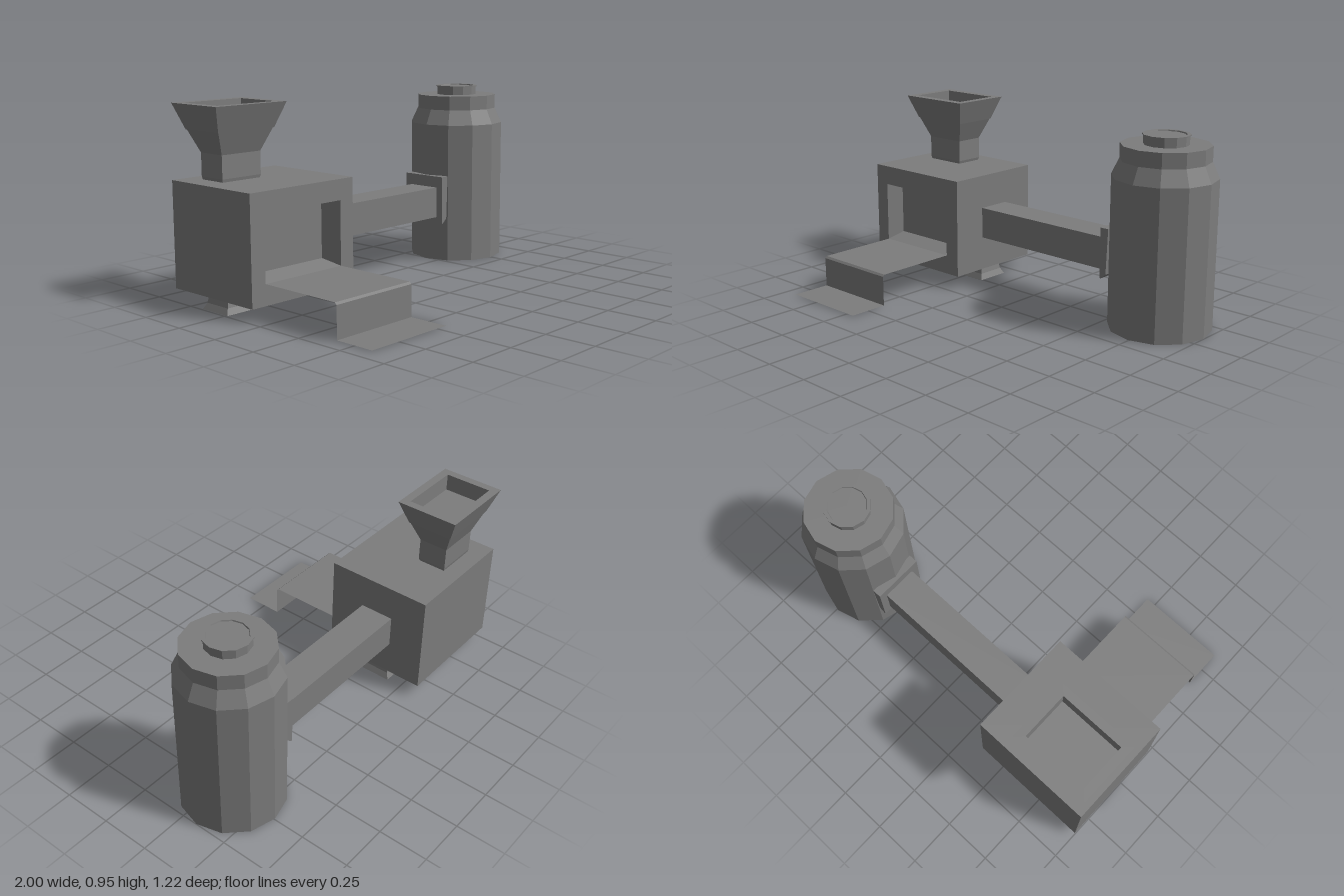
import * as THREE from 'three';

const color = 0x7c7c7c;
const material = new THREE.MeshStandardMaterial({ color, flatShading: true });
const sheetMaterial = new THREE.MeshStandardMaterial({ color, flatShading: true, side: THREE.DoubleSide });

// Closed loft through rectangles [x0, x1, z0, z1, y]; the first and last are capped.
function rectLoft(sections) {
  const rings = sections.map(([x0, x1, z0, z1, y]) => [[x0, y, z0], [x0, y, z1], [x1, y, z1], [x1, y, z0]]);
  const positions = [];
  const quad = (a, b, c, d) => positions.push(...a, ...b, ...c, ...a, ...c, ...d);
  for (let s = 0; s < rings.length - 1; s++) {
    for (let i = 0; i < 4; i++) {
      const j = (i + 1) % 4;
      quad(rings[s][i], rings[s][j], rings[s + 1][j], rings[s + 1][i]);
    }
  }
  quad(...[...rings[0]].reverse());
  quad(...rings[rings.length - 1]);
  const geometry = new THREE.BufferGeometry();
  geometry.setAttribute('position', new THREE.Float32BufferAttribute(positions, 3));
  geometry.computeVertexNormals();
  return geometry;
}

// Rectangle section centred on the origin, from half sizes
const centred = (hx, hz, y) => [-hx, hx, -hz, hz, y];

export function createModel() {
  const model = new THREE.Group();
  model.name = 'hopperMachine';
  const add = (name, geometry, mat = material) => {
    const mesh = new THREE.Mesh(geometry, mat);
    mesh.name = name;
    model.add(mesh);
    return mesh;
  };

  // Housing, lofted back to front and then into the tapered outlet recess
  const housing = rectLoft([
    [-1, -0.367, -0.59, -0.068, -0.61],
    [-1, -0.367, -0.59, -0.068, -0.05],
    [-0.92, -0.45, -0.488, -0.17, -0.05],
    [-0.905, -0.48, -0.478, -0.197, -0.15],
  ]).rotateX(Math.PI / 2);
  add('housing', housing);

  // Feet, flared towards the ground
  for (const [name, x] of [['rightFoot', -0.89], ['leftFoot', -0.475]]) {
    add(name, rectLoft([
      centred(0.1, 0.09, 0),
      centred(0.085, 0.075, 0.03),
      centred(0.075, 0.065, 0.08),
    ])).position.set(x, 0, -0.33);
  }

  // Hopper: neck and lower funnel, then the upper funnel with its shallow well
  add('hopperNeck', rectLoft([
    centred(0.11, 0.073, 0.585),
    centred(0.115, 0.077, 0.605),
    centred(0.115, 0.077, 0.718),
    centred(0.163, 0.118, 0.83),
  ])).position.set(-0.78, 0, -0.445);
  add('hopperFunnel', rectLoft([
    centred(0.166, 0.121, 0.828),
    centred(0.21, 0.165, 0.952),
    centred(0.168, 0.122, 0.952),
    centred(0.167, 0.121, 0.865),
  ])).position.set(-0.78, 0, -0.445);

  // Outlet chute: thin folded sheet
  const fold = [[0.17, -0.05], [0.168, 0.392], [0.158, 0.402], [0.004, 0.402], [0.004, 0.607]];
  const chute = new THREE.PlaneGeometry(0.47, 1, 1, fold.length - 1).translate(-0.685, 0, 0);
  const points = chute.attributes.position;
  for (let i = 0; i < points.count; i++) {
    const [y, z] = fold[Math.floor(i / 2)];
    points.setXYZ(i, points.getX(i), y, z);
  }
  chute.computeVertexNormals();
  add('chute', chute, sheetMaterial);

  // Connecting duct and its mounting plate, bevelled under the tank side
  add('duct', new THREE.BoxGeometry(0.86, 0.165, 0.18)).position.set(0.05, 0.33, -0.33);
  add('mountingPlate', rectLoft([
    [0.47, 0.478, -0.46, -0.2, 0.215],
    [0.47, 0.507, -0.46, -0.2, 0.24],
    [0.47, 0.517, -0.46, -0.2, 0.473],
  ]));

  // Twelve-sided tank and filler cap
  const lathe = (profile) => new THREE.LatheGeometry(profile.map(([r, y]) => new THREE.Vector2(r, y)), 12);
  add('tank', lathe([
    [0, 0], [0.255, 0], [0.255, 0.75], [0.218, 0.83], [0.218, 0.905], [0, 0.905],
  ])).position.set(0.744, 0, -0.33);
  add('fillerCap', lathe([
    [0.109, 0.9], [0.109, 0.948], [0.115, 0.948], [0.115, 0.954], [0.097, 0.954], [0.095, 0.948], [0, 0.948],
  ])).position.set(0.744, 0, -0.33);

  return model;
}
